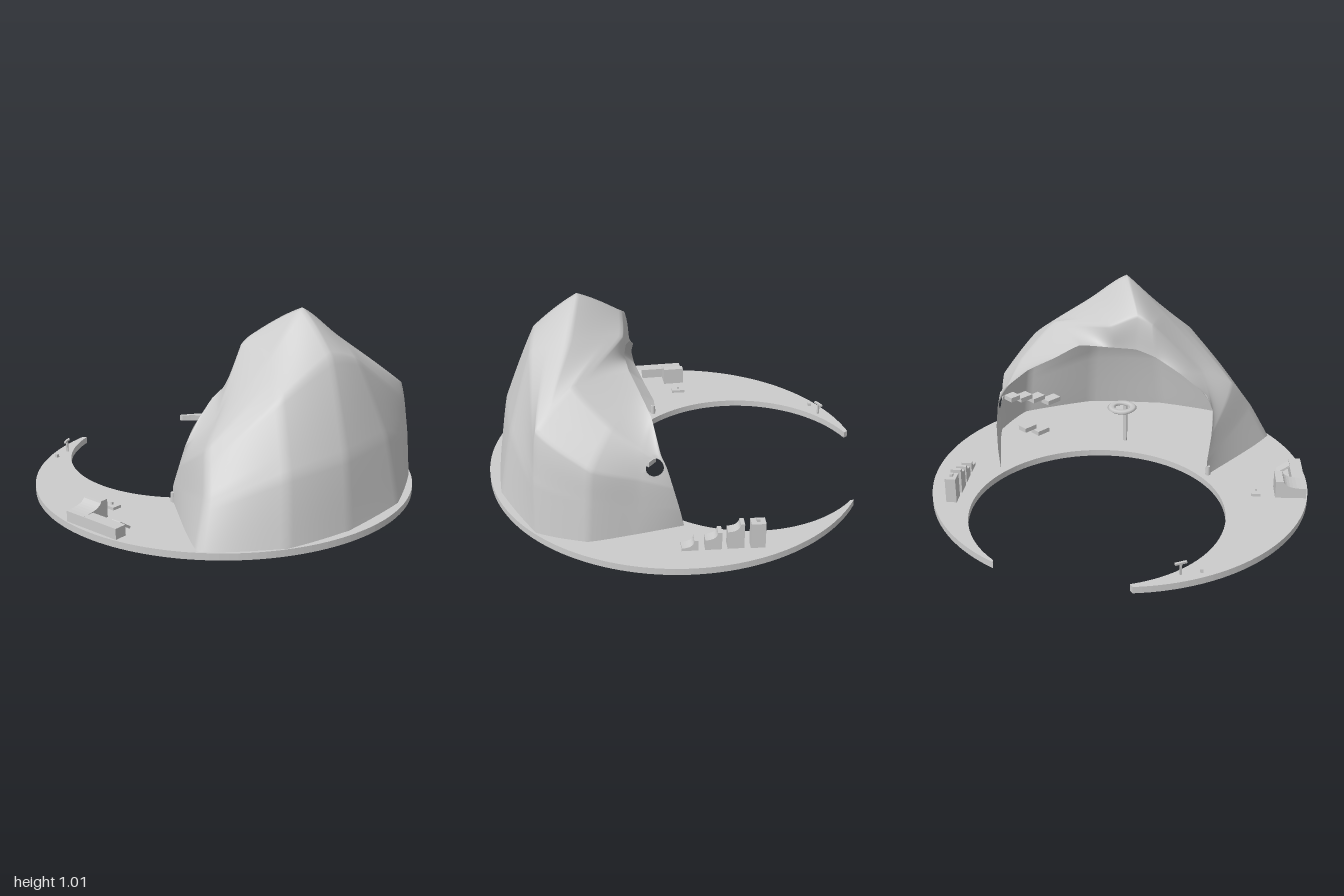
import * as THREE from 'three';

const mat = new THREE.MeshStandardMaterial({ color: 0xcccccc });
const thin = new THREE.MeshStandardMaterial({ color: 0xcccccc, side: THREE.DoubleSide });
const GROUND = 0.035;

function add(parent, name, geo, x = 0, y = 0, z = 0, ry = 0, material = mat) {
  const mesh = new THREE.Mesh(geo, material);
  mesh.name = name;
  mesh.position.set(x, y, z);
  mesh.rotation.y = ry;
  parent.add(mesh);
  return mesh;
}
// box standing on height y
const box = (parent, name, w, h, d, x, y, z, ry = 0) =>
  add(parent, name, new THREE.BoxGeometry(w, h, d), x, y + h / 2, z, ry);

// Ribs of the rock shell, from ground to rim, going from the back foot round to the front foot
const RIBS = [
  [[-.13, .03, -.65], [-.11, .14, -.67], [-.08, .27, -.685], [-.05, .38, -.685], [-.02, .45, -.68]],
  [[.08, .03, -.74], [.08, .18, -.73], [.08, .33, -.72], [.07, .46, -.67], [.04, .57, -.54]],
  [[.32, .03, -.83], [.31, .24, -.81], [.30, .41, -.79], [.22, .56, -.64], [.11, .63, -.41]],
  [[.58, .03, -.78], [.58, .30, -.75], [.57, .56, -.70], [.42, .71, -.52], [.18, .69, -.29]],
  [[.83, .03, -.45], [.77, .38, -.41], [.67, .77, -.29], [.47, .85, -.33], [.23, .80, -.14], [.225, .68, -.11]],
  [[.93, .03, -.03], [.87, .38, -.05], [.69, .82, -.10], [.46, 1.015, -.11], [.25, .87, .01], [.235, .68, .01]],
  [[.91, .03, .33], [.84, .35, .28], [.68, .66, .20], [.48, .80, .11], [.25, .82, .10], [.23, .65, .12]],
  [[.69, .03, .68], [.62, .25, .58], [.50, .43, .49], [.39, .54, .34], [.23, .57, .26]],
  [[.13, .03, .44], [.14, .12, .44], [.20, .24, .445], [.25, .36, .44], [.26, .45, .40]],
];

// Point on a polyline (t from 0 to 1), slightly rounded so the ridges stay crisp
function blend(pts, t) {
  const n = pts.length - 1;
  const i = Math.min(Math.floor(t * n), n - 1), f = t * n - i;
  const p = k => pts[Math.max(0, Math.min(n, k))];
  return [0, 1, 2].map(c => {
    const a = p(i)[c], b = p(i + 1)[c];
    const m0 = (b - p(i - 1)[c]) / 2, m1 = (p(i + 2)[c] - a) / 2;
    const f2 = f * f, f3 = f2 * f;
    const smooth = a * (2 * f3 - 3 * f2 + 1) + m0 * (f3 - 2 * f2 + f) + b * (3 * f2 - 2 * f3) + m1 * (f3 - f2);
    return 0.3 * smooth + 0.7 * (a + (b - a) * f);
  });
}

function rockShell() {
  const nu = 96, nv = 60;
  const hole = { x: 0.008, y: 0.383, r: 0.042 };
  const pos = [], inside = [], index = [];
  for (let u = 0; u <= nu; u++) {
    for (let v = 0; v <= nv; v++) {
      const p = blend(RIBS.map(rib => blend(rib, v / nv)), u / nu);
      // round window: nearby vertices are pulled onto its circle
      const dx = p[0] - hole.x, dy = p[1] - hole.y, d = Math.hypot(dx, dy);
      const near = p[2] < -0.6 && d < hole.r * 1.15;
      if (near && d > hole.r * 0.8) {
        p[0] = hole.x + dx / d * hole.r;
        p[1] = hole.y + dy / d * hole.r;
      }
      inside.push(near);
      pos.push(...p);
    }
  }
  const tri = (a, b, c) => { if (!(inside[a] && inside[b] && inside[c])) index.push(a, b, c); };
  for (let u = 0; u < nu; u++) {
    for (let v = 0; v < nv; v++) {
      const a = u * (nv + 1) + v, b = a + nv + 1;
      tri(a, a + 1, b);
      tri(b, a + 1, b + 1);
    }
  }
  const geo = new THREE.BufferGeometry();
  geo.setAttribute('position', new THREE.Float32BufferAttribute(pos, 3));
  geo.setIndex(index);
  geo.computeVertexNormals();
  return geo;
}

// Crescent plate
function crescent() {
  const s = new THREE.Shape();
  const a = Math.PI - 0.352, b = Math.PI - 0.544;
  s.absarc(-0.03, 0, 1, -a, a, false);
  s.absarc(-0.39, -0.013, 0.655, b, -b, true);
  const geo = new THREE.ExtrudeGeometry(s, { depth: GROUND, bevelEnabled: false, curveSegments: 64 });
  return geo.rotateX(Math.PI / 2).translate(0, GROUND, 0);
}

// Block whose top sweeps down in a hollow curve from h0 to h1
function sweptBlock(w, h0, h1, depth) {
  const s = new THREE.Shape();
  s.moveTo(-w / 2, 0);
  s.lineTo(w / 2, 0);
  s.lineTo(w / 2, h1);
  s.quadraticCurveTo(-w * 0.2, h1, -w * 0.25, h0);
  s.lineTo(-w / 2, h0);
  return new THREE.ExtrudeGeometry(s, { depth, bevelEnabled: false, curveSegments: 8 }).translate(0, 0, -depth / 2);
}

export function createModel() {
  const model = new THREE.Group();
  model.name = 'crescentIsland';
  add(model, 'crescentPlate', crescent());
  add(model, 'rockShell', rockShell(), 0, 0, 0, 0, thin);

  // Row of blocks stepping down along the back
  const row = new THREE.Group();
  row.name = 'blockRow';
  model.add(row);
  box(row, 'tallBlock', 0.07, 0.135, 0.055, -0.49, GROUND, -0.77, 0.18);
  box(row, 'blockKnob', 0.016, 0.015, 0.016, -0.49, 0.17, -0.77, 0.18);
  [[-0.385, -0.785, 0.17, 0.13], [-0.28, -0.805, 0.13, 0.09], [-0.17, -0.825, 0.09, 0.05]].forEach(([x, z, h0, h1]) =>
    add(row, 'sweptBlock', sweptBlock(0.08, h0 - GROUND, h1 - GROUND, 0.055), x, GROUND, z, 0.18));

  // Low building at the front edge
  const hall = new THREE.Group();
  hall.name = 'frontBuilding';
  hall.position.set(0.2, GROUND, 0.91);
  hall.rotation.y = 0.25;
  model.add(hall);
  box(hall, 'longWall', 0.33, 0.055, 0.065, -0.005, 0, 0.008);
  add(hall, 'curvedRoof', sweptBlock(0.16, 0.095, 0.055, 0.115), -0.113, 0, -0.04, -Math.PI / 2);
  const ramp = box(hall, 'ramp', 0.055, 0.012, 0.08, 0.1, 0.025, -0.055);
  ramp.rotation.x = -0.6;
  box(model, 'pad', 0.075, 0.015, 0.05, 0.025, GROUND, 0.73, 0.2);
  box(model, 'padKnob', 0.01, 0.012, 0.01, 0.025, 0.05, 0.73, 0.2);

  // Signpost and stump near the front tip
  box(model, 'signPost', 0.01, 0.06, 0.01, -0.808, GROUND, 0.53, -0.9);
  box(model, 'signBar', 0.06, 0.01, 0.012, -0.808, 0.093, 0.53, -0.9);
  box(model, 'stump', 0.016, 0.018, 0.016, -0.76, GROUND, 0.62, 0.2);

  // Ledges stepping down inside the cave
  [[0.05, 0.38, -0.64, 0.06], [0.11, 0.36, -0.60, 0.08], [0.17, 0.335, -0.55, 0.08], [0.22, 0.31, -0.48, 0.09],
    [0.13, 0.165, -0.59, 0.08], [0.17, 0.135, -0.53, 0.08]].forEach(([x, y, z, w]) =>
    box(model, 'ledge', w, 0.025, 0.06, x, y, z, -0.5));

  // Looped walkway in the middle of the cave, on one post
  const ring = add(model, 'loopWalk', new THREE.TorusGeometry(0.06, 0.022, 6, 24), 0.34, 0.27, -0.1);
  ring.rotation.x = Math.PI / 2;
  ring.scale.z = 0.5;
  box(model, 'loopPost', 0.02, 0.23, 0.02, 0.4, GROUND, -0.1);

  // Small bollard at the front foot of the rock
  add(model, 'footPost', new THREE.CylinderGeometry(0.012, 0.014, 0.05, 12), 0.145, GROUND + 0.025, 0.445);
  return model;
}
